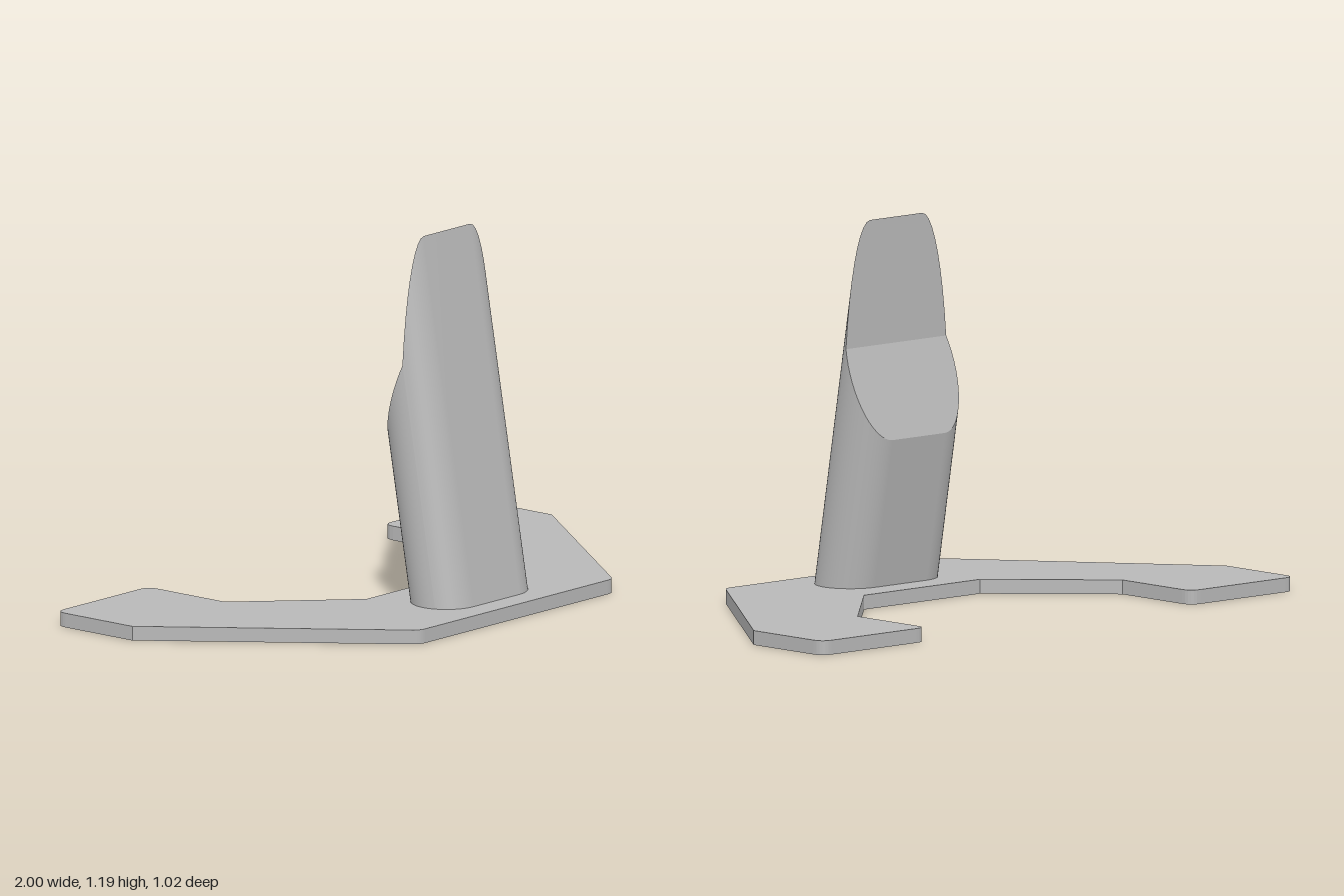
import * as THREE from 'three';

const BASE_TOP = 0.045;

// Closed outline with chosen corners rounded; points are [x, z, cut]
function roundedOutline(points) {
  const shape = new THREE.Shape();
  const n = points.length;
  const at = (i) => new THREE.Vector2(points[(i + n) % n][0], -points[(i + n) % n][1]);
  for (let i = 0; i < n; i++) {
    const p = at(i), cut = points[i][2] || 0;
    const toward = (q) => p.clone().add(q.clone().sub(p).setLength(cut));
    const a = cut ? toward(at(i - 1)) : p;
    if (i === 0) shape.moveTo(a.x, a.y);
    else shape.lineTo(a.x, a.y);
    if (cut) {
      const b = toward(at(i + 1));
      shape.quadraticCurveTo(p.x, p.y, b.x, b.y);
    }
  }
  shape.closePath();
  return shape;
}

function buildGeometry(positions, index) {
  const g = new THREE.BufferGeometry();
  g.setAttribute('position', new THREE.Float32BufferAttribute(positions, 3));
  g.setIndex(index);
  return g;
}

function createBase(material) {
  // Right half of the wide U-shaped foot, mirrored for the other half
  const half = [
    [0.46, 0.512, 0.025], [1, -0.2], [1, -0.512, 0.04],
    [0.56, -0.512, 0.04], [0.56, -0.2], [0.245, 0.11],
  ];
  const mirrored = half.map(([x, z, c]) => [-x, z, c]).reverse();
  const g = new THREE.ExtrudeGeometry(roundedOutline([...half, ...mirrored]), {
    depth: BASE_TOP, bevelEnabled: false, curveSegments: 6,
  });
  g.rotateX(-Math.PI / 2);
  const mesh = new THREE.Mesh(g, material);
  mesh.name = 'base';
  return mesh;
}

function createPost(material) {
  const frontZ = 0.43, lean = 0.1757, radius = 0.111, flat = 0.11;
  const cutZ = 0.228, cutY = 0.8;      // vertical cut, ending at its lower edge
  const heelZ = 0.125, heelY = 0.515;  // lower end of the slanted cut
  const slant = (cutZ - heelZ) / (cutY - heelY);

  // Height where the post stops, at distance d behind its leaning front face
  const topAt = (d) => Math.max(
    BASE_TOP + (frontZ - d - cutZ) / lean,
    (frontZ - d + lean * BASE_TOP - heelZ + slant * heelY) / (slant + lean));
  const zAt = (d, y) => frontZ - d - lean * (y - BASE_TOP);

  // Rows across the section from front to back, with one on the crease
  const crease = frontZ - cutZ - lean * (cutY - BASE_TOP);
  const angles = [Math.acos(1 - crease / radius)];
  for (let i = 0; i <= 24; i++) angles.push((i / 24) * Math.PI);
  angles.sort((a, b) => a - b);
  const rows = angles.map((a) => ({
    d: radius * (1 - Math.cos(a)), w: flat + 0.11 * Math.sin(a),
  }));

  // Leaning wall around the rounded section
  const loop = [
    ...rows.map(({ d, w }) => [w, d]),
    ...rows.map(({ d, w }) => [-w, d]).reverse(),
  ];
  const wallPos = [], wallIndex = [];
  loop.forEach(([x, d], i) => {
    const y = topAt(d), j = (i + 1) % loop.length;
    wallPos.push(x, BASE_TOP, frontZ - d, x, y, zAt(d, y));
    wallIndex.push(2 * i, 2 * j, 2 * j + 1, 2 * i, 2 * j + 1, 2 * i + 1);
  });
  const wallGeometry = buildGeometry(wallPos, wallIndex);
  wallGeometry.computeVertexNormals();
  const wall = new THREE.Mesh(wallGeometry, material);
  wall.name = 'postWall';

  // Two flat cut faces at the upper back
  const capPos = [], capIndex = [];
  rows.forEach(({ d, w }, i) => {
    const y = topAt(d), z = zAt(d, y), k = 2 * i;
    capPos.push(w, y, z, -w, y, z);
    if (i < rows.length - 1) capIndex.push(k, k + 2, k + 3, k, k + 3, k + 1);
  });
  const capGeometry = buildGeometry(capPos, capIndex).toNonIndexed();
  capGeometry.computeVertexNormals();
  const cap = new THREE.Mesh(capGeometry, material);
  cap.name = 'postCutFaces';

  const post = new THREE.Group();
  post.name = 'post';
  post.add(wall, cap);
  return post;
}

export function createModel() {
  const grey = new THREE.MeshStandardMaterial({ color: 0xb8b8b8 });
  grey.name = 'light grey';
  const model = new THREE.Group();
  model.name = 'leaningStand';
  model.add(createBase(grey), createPost(grey));
  return model;
}
